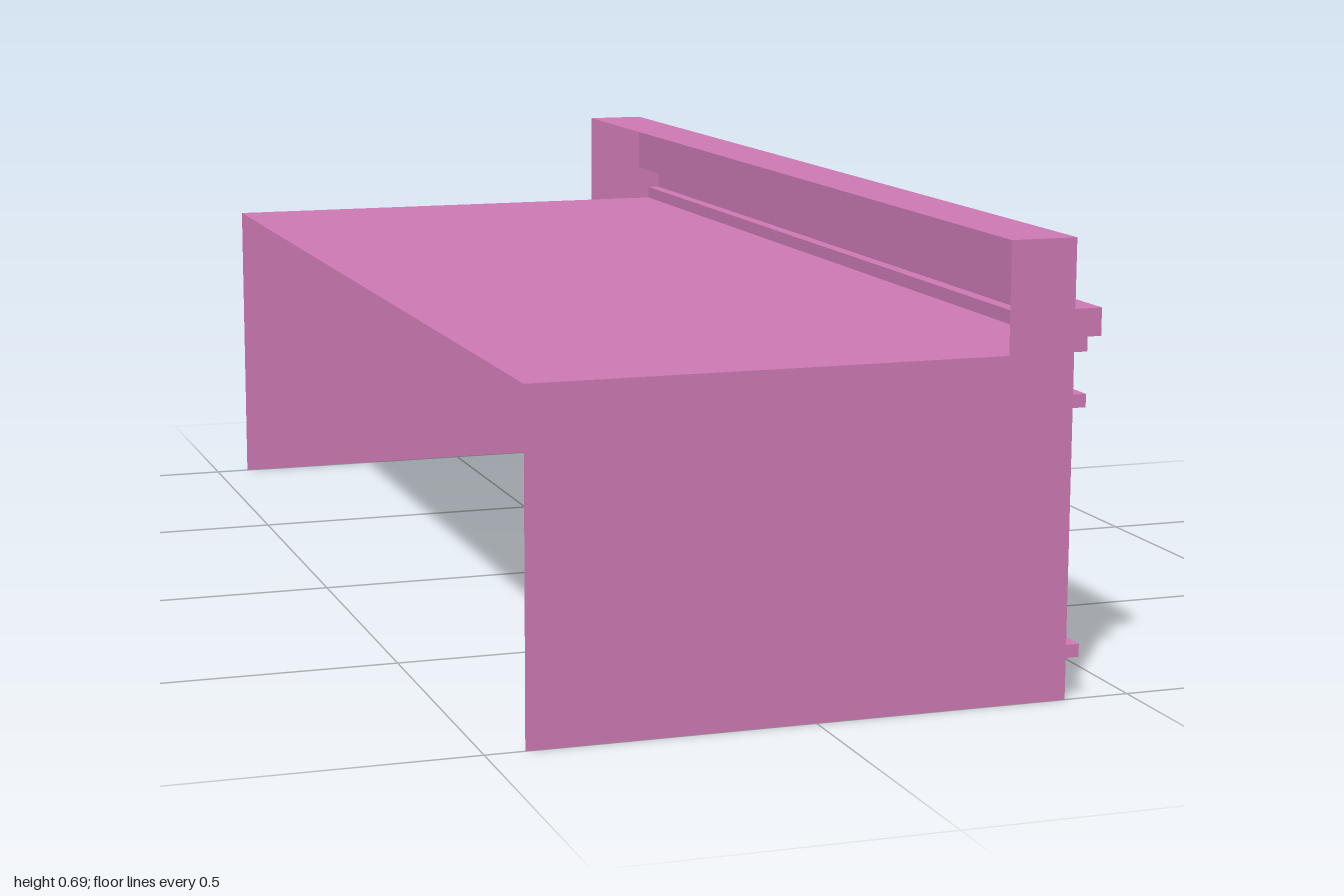
import * as THREE from 'three';

const X_BACK = -0.44, X_PARAPET = 0.293, X_FACE = 0.397;
const ROOF_Y = 0.525, TOP_Y = 0.694;

// Cornice and parapet outline (x, y), from roof level up and over the coping
const cornice = [
  [X_FACE, ROOF_Y], [0.418, ROOF_Y], [0.418, 0.547], [0.44, 0.547],
  [0.44, 0.589], [X_FACE, 0.589], [X_FACE, TOP_Y], [X_PARAPET, TOP_Y],
];

// Openings along the facade: u runs from the front end (-1) to the rear end (1)
const windows = [-0.9, -0.6, -0.3].map((u) => ({ u0: u, u1: u + 0.2, y0: 0.084, y1: 0.442 }));
const doors = [
  { u0: 0, u1: 0.2, y0: 0, y1: 0.442 },
  { u0: 0.5, u1: 0.9, y0: 0, y1: 0.42 },
];

const toShape = (pts) => new THREE.Shape(pts.map(([x, y]) => new THREE.Vector2(x, y)));

// Open polyline in x/y swept along z, flat shaded
function ribbon(pts, z0, z1) {
  const pos = [];
  for (let i = 0; i < pts.length - 1; i++) {
    const [ax, ay] = pts[i], [bx, by] = pts[i + 1];
    pos.push(ax, ay, z0, bx, by, z1, ax, ay, z1);
    pos.push(ax, ay, z0, bx, by, z0, bx, by, z1);
  }
  const g = new THREE.BufferGeometry();
  g.setAttribute('position', new THREE.Float32BufferAttribute(pos, 3));
  g.computeVertexNormals();
  return g;
}

export function createModel() {
  const model = new THREE.Group();
  model.name = 'storefront';
  const paint = new THREE.MeshStandardMaterial({ color: 0xcc79b4, side: THREE.DoubleSide });
  const dark = new THREE.MeshStandardMaterial({ color: 0x0d0d0d, side: THREE.DoubleSide });

  const add = (name, geometry, material = paint) => {
    const mesh = new THREE.Mesh(geometry, material);
    mesh.name = name;
    model.add(mesh);
    return mesh;
  };

  // Flat roof, open underneath
  add('roof', ribbon([[X_FACE, ROOF_Y], [X_BACK, ROOF_Y]], -1, 1));

  // Hollow cornice and parapet, open toward the roof
  add('parapet', ribbon(cornice, -1, 1));

  // End walls follow the full section
  const section = [[X_BACK, 0], [X_FACE, 0], ...cornice, [X_PARAPET, ROOF_Y], [X_BACK, ROOF_Y]];
  for (const side of [-1, 1]) {
    const g = new THREE.ShapeGeometry(toShape(section));
    if (side < 0) g.rotateY(Math.PI).scale(-1, 1, 1);
    add(side > 0 ? 'frontEndWall' : 'rearEndWall', g.translate(0, 0, side));
  }

  // Facade with door notches and window holes
  const outline = [[-1, 0]];
  for (const d of doors) outline.push([d.u0, 0], [d.u0, d.y1], [d.u1, d.y1], [d.u1, 0]);
  outline.push([1, 0], [1, ROOF_Y], [-1, ROOF_Y]);
  const face = toShape(outline);
  for (const w of windows) {
    face.holes.push(toShape([[w.u0, w.y0], [w.u0, w.y1], [w.u1, w.y1], [w.u1, w.y0]]));
  }
  add('facade', new THREE.ShapeGeometry(face).rotateY(Math.PI / 2).translate(X_FACE, 0, 0));

  // Reveals and dark panels set back in each opening
  const opening = (name, o, hasSill) => {
    const path = [[o.u0, o.y0], [o.u0, o.y1], [o.u1, o.y1], [o.u1, o.y0]];
    if (hasSill) path.push(path[0]);
    add(name + 'Reveal', ribbon(path, X_PARAPET, X_FACE).rotateY(Math.PI / 2));
    const panel = new THREE.PlaneGeometry(o.u1 - o.u0, o.y1 - o.y0).rotateY(Math.PI / 2);
    panel.translate(X_PARAPET, (o.y0 + o.y1) / 2, -(o.u0 + o.u1) / 2);
    add(name + 'Panel', panel, dark);
  };
  windows.forEach((w) => opening('window', w, true));
  doors.forEach((d) => opening('door', d, false));

  // Thin rails above and below the windows, the lower one broken by the door
  const rail = (name, u0, u1, y0, y1) => {
    const g = new THREE.BoxGeometry(0.021, y1 - y0, u1 - u0);
    add(name, g.translate(X_FACE + 0.0105, (y0 + y1) / 2, -(u0 + u1) / 2));
  };
  rail('upperRail', -1, 0.4, 0.442, 0.462);
  rail('lowerRail', -1, 0, 0.064, 0.084);
  rail('lowerRail', 0.2, 0.4, 0.064, 0.084);

  return model;
}
